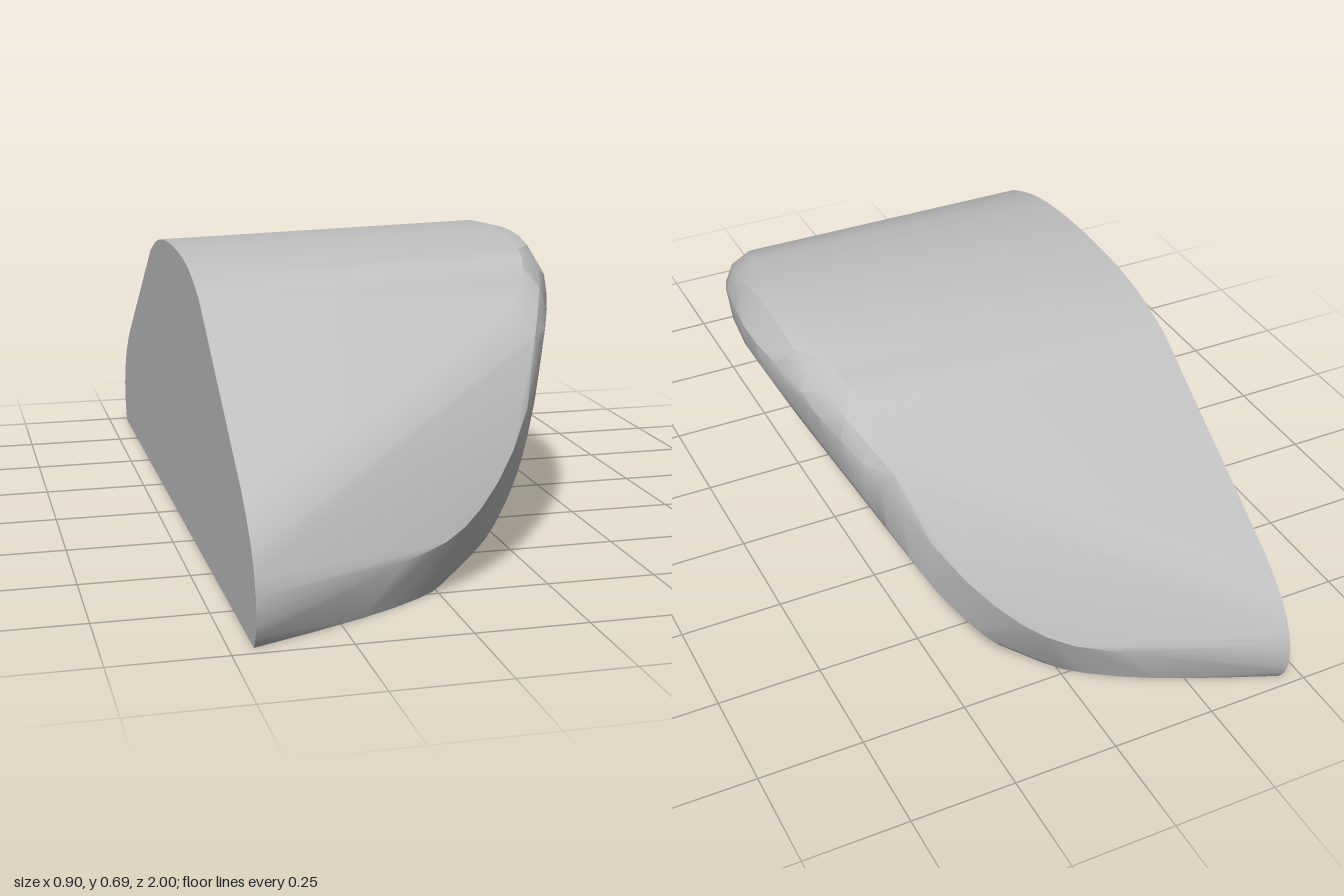
import * as THREE from 'three';
import { ConvexGeometry } from 'three/addons/geometries/ConvexGeometry.js';
import { toCreasedNormals } from 'three/addons/utils/BufferGeometryUtils.js';

// Half-side guide curves as [x, y, z]; each is smoothed and mirrored across z = 0.
const curves = {
  backLower: [[-0.45, 0, 0.97], [-0.45, 0.03, 0.99], [-0.45, 0.08, 1], [-0.45, 0.15, 0.985],
    [-0.45, 0.22, 0.94], [-0.45, 0.29, 0.86]],
  backCrown: [[-0.45, 0.6, 0.38], [-0.45, 0.634, 0.29], [-0.45, 0.654, 0.2], [-0.45, 0.664, 0.1], [-0.45, 0.667, 0]],
  baseSide: [[-0.45, 0, 0.97], [-0.2, 0, 0.86], [-0.05, 0, 0.77], [0.02, 0, 0.7], [0.045, 0, 0.62]],
  rim: [[-0.45, 0.08, 1], [-0.2, 0.1, 0.89], [0, 0.13, 0.8], [0.1, 0.18, 0.735], [0.2, 0.28, 0.65],
    [0.3, 0.43, 0.52], [0.35, 0.505, 0.43], [0.4, 0.565, 0.3], [0.43, 0.59, 0.17], [0.447, 0.6, 0.05]],
  frontEdge: [[0.045, 0, 0.62], [0.11, 0.05, 0.65], [0.165, 0.11, 0.635], [0.235, 0.2, 0.575], [0.28, 0.28, 0.52],
    [0.345, 0.4, 0.41], [0.4, 0.5, 0.26], [0.435, 0.56, 0.12], [0.447, 0.57, 0.04]],
  frontMiddle: [[0.045, 0, 0], [0.12, 0.05, 0], [0.19, 0.12, 0], [0.25, 0.2, 0], [0.3, 0.28, 0],
    [0.363, 0.4, 0], [0.41, 0.5, 0], [0.447, 0.57, 0]],
  crownEdge: [[0.24, 0.54, 0.48], [0.31, 0.61, 0.37], [0.34, 0.65, 0.29], [0.345, 0.674, 0.2], [0.34, 0.69, 0.1], [0.34, 0.695, 0]],
  noseTop: [[0.3, 0.5, 0.5], [0.36, 0.59, 0.36], [0.395, 0.642, 0.22], [0.4, 0.674, 0.1], [0.4, 0.68, 0]],
  noseTip: [[0.415, 0.6, 0.24], [0.435, 0.615, 0.13], [0.447, 0.62, 0.04]],
};

export function createModel() {
  const points = [];
  for (const list of Object.values(curves)) {
    const path = new THREE.CatmullRomCurve3(list.map((p) => new THREE.Vector3(...p)), false, 'centripetal');
    for (const p of path.getPoints((list.length - 1) * 2)) {
      p.y = Math.max(p.y, 0);
      p.x = Math.max(p.x, -0.45);
      points.push(p);
      if (p.z > 0.001) points.push(new THREE.Vector3(p.x, p.y, -p.z));
    }
  }

  const grey = new THREE.MeshStandardMaterial({ color: 0xc0c0c0 });
  grey.name = 'light grey';

  // Rounded wedge with crisp back and base edges
  const body = new THREE.Mesh(toCreasedNormals(new ConvexGeometry(points), 0.5), grey);
  body.name = 'roundedWedge';
  const group = new THREE.Group();
  group.name = 'wedgeBlock';
  group.add(body);
  return group;
}
